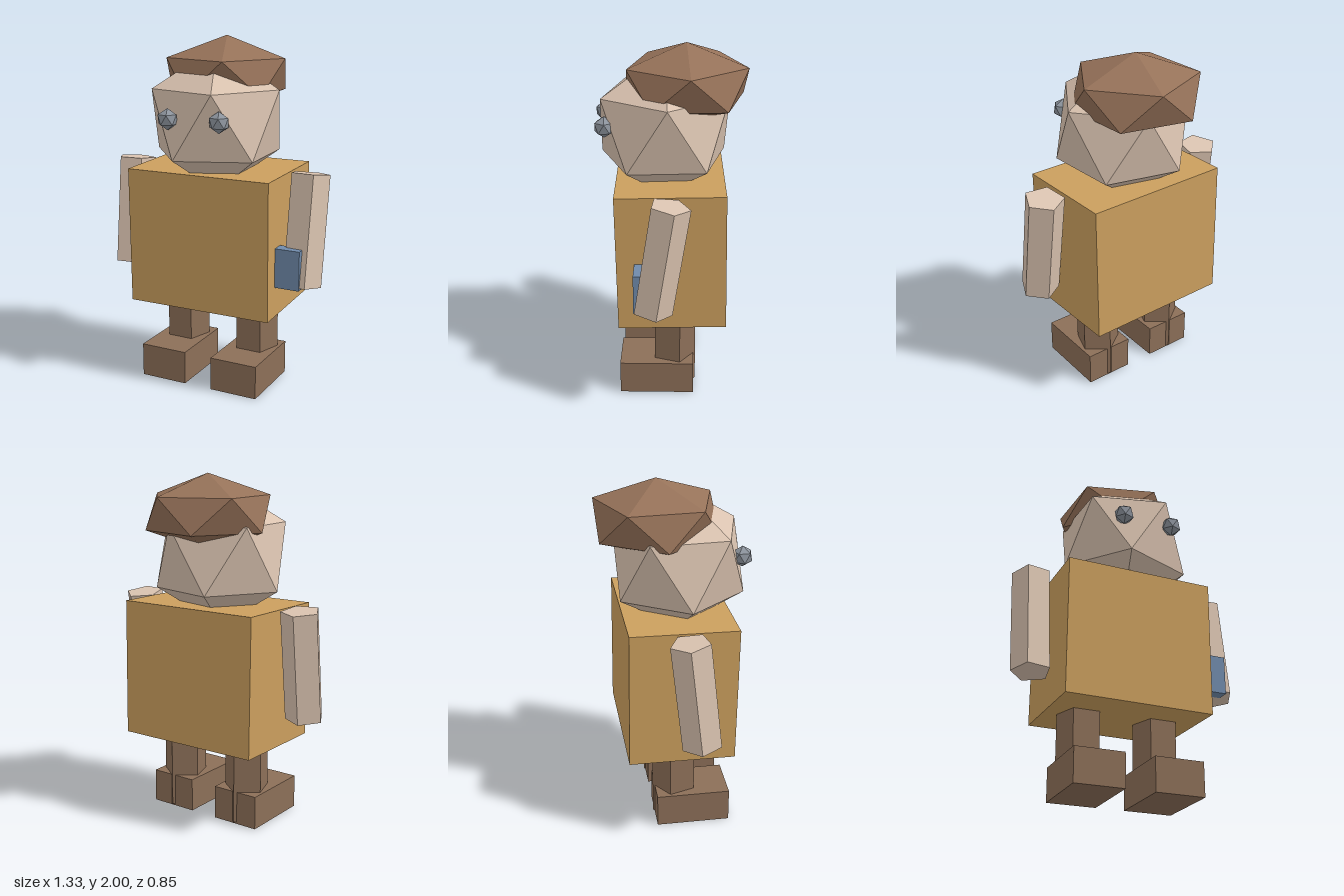
import * as THREE from 'three';

const mat = (name, color) => {
  const m = new THREE.MeshStandardMaterial({ color, flatShading: true });
  m.name = name;
  return m;
};

// Twelve-cornered ball standing on one corner
const ball = (r, ry = r) =>
  new THREE.IcosahedronGeometry(1, 0).rotateZ(-Math.atan(2 / (1 + Math.sqrt(5)))).rotateY(0.07).scale(r, ry, r);

// Five-sided post; turn is the heading of one corner, measured from +z
const post = (r, h, turn) => new THREE.CylinderGeometry(r, r, h, 5).rotateY(turn);

export function createModel() {
  const model = new THREE.Group();
  model.name = 'figure';
  const shirt = mat('ochre', 0xcb9f5e);
  const skin = mat('skin', 0xdac3b0);
  const leather = mat('legBrown', 0x8c6f58);
  const hair = mat('hairBrown', 0x967259);
  const grey = mat('eyeGrey', 0x8d949d);
  const blue = mat('blue', 0x708bab);

  const add = (name, geometry, material, x, y, z, rx = 0, ry = 0) => {
    const mesh = new THREE.Mesh(geometry, material);
    mesh.name = name;
    mesh.position.set(x, y, z);
    mesh.rotation.set(rx, ry, 0);
    model.add(mesh);
  };

  // Torso, slightly turned and leaning
  add('torso', new THREE.BoxGeometry(0.865, 0.79, 0.605), shirt, 0, 0.872, -0.005, 0.015, 0.0175);

  // Head, cap of hair and eyes
  add('head', ball(0.414), skin, 0, 1.535, 0.035);
  add('hair', ball(0.39, 0.217), hair, 0, 1.783, -0.088);
  add('rightEye', ball(0.06), grey, -0.127, 1.575, 0.373);
  add('leftEye', ball(0.06), grey, 0.176, 1.575, 0.357);

  // Arms, swung a little forward
  add('leftArm', post(0.113, 0.63, Math.PI - 0.09), skin, 0.553, 0.96, 0.041, -0.155);
  add('rightArm', post(0.113, 0.63, Math.PI + 0.17), skin, -0.553, 0.957, 0.05, -0.11);

  // Small flat case held in the left hand
  add('heldCase', new THREE.BoxGeometry(0.2, 0.225, 0.075), blue, 0.48, 0.762, 0.153);

  // Legs run down through the backs of the feet
  for (const [side, s] of [['left', 1], ['right', -1]]) {
    add(side + 'Leg', post(0.13, 0.53, Math.PI), leather, s * 0.228, 0.275, -0.02);
    add(side + 'Foot', new THREE.BoxGeometry(0.285, 0.195, 0.425), leather, s * 0.227, 0.0975, 0.073);
  }
  return model;
}
